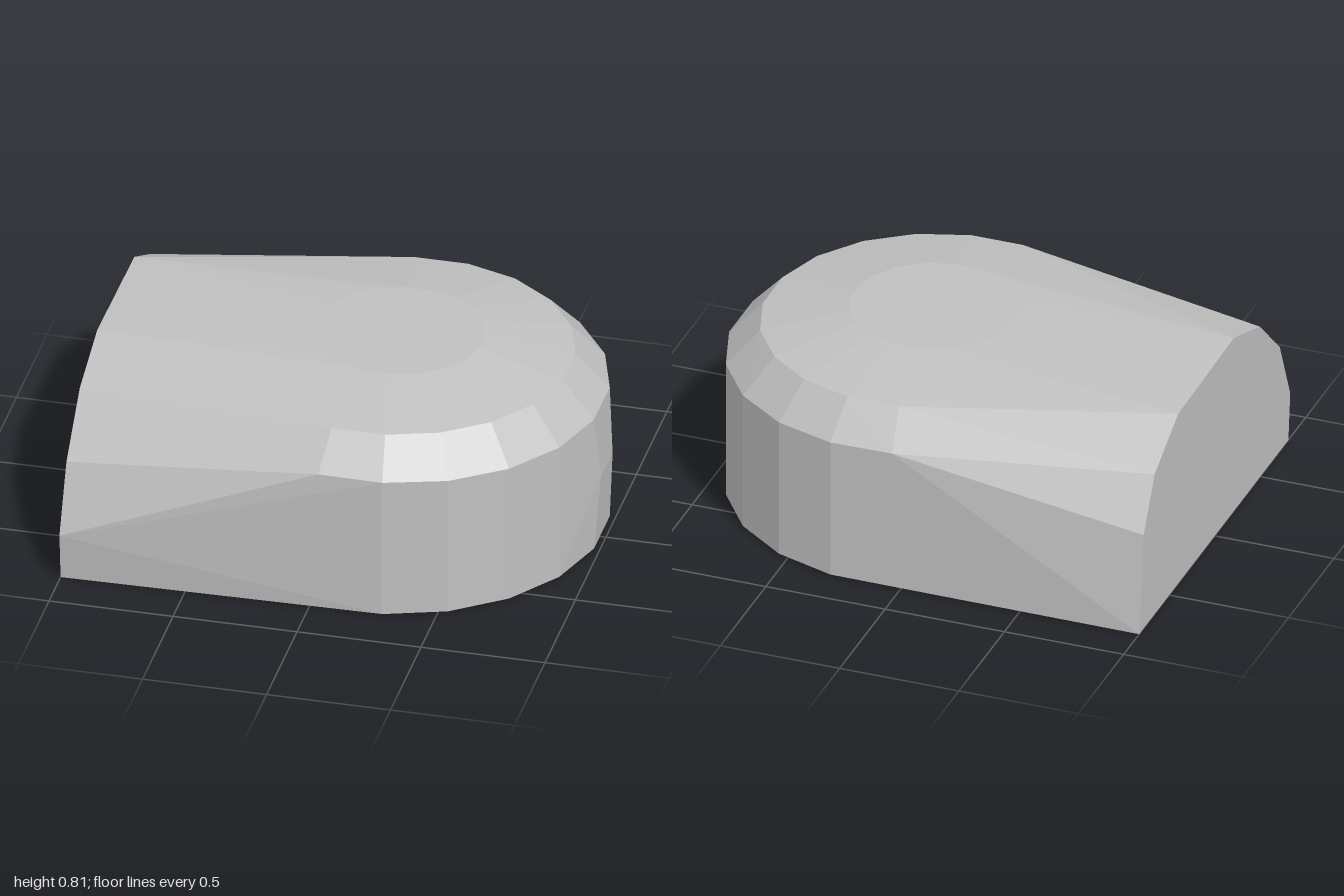
import * as THREE from 'three';
import { ConvexGeometry } from 'three/addons/geometries/ConvexGeometry.js';

// Ring of a 20-sided rounded nose; tilt is the rise in y per unit of x
function ring(y, radius, tilt = 0) {
  const points = [];
  for (let i = 0; i < 20; i++) {
    const a = ((i + 0.5) * Math.PI) / 10;
    const x = 0.165 + radius * Math.cos(a);
    points.push(new THREE.Vector3(x, y + tilt * x, -0.017 + radius * Math.sin(a)));
  }
  return points;
}

export function createModel() {
  const group = new THREE.Group();
  const grey = new THREE.MeshStandardMaterial({ color: 0xc0c0c0, flatShading: true });
  grey.name = 'grey';

  // Flat end at x = -1, as [z, y] from the front foot over to the back foot
  const endProfile = [
    [0.81, 0], [0.83, 0.2], [0.715, 0.47], [0.495, 0.68], [0.21, 0.78],
    [-0.4, 0.765], [-0.66, 0.63], [-0.78, 0.42], [-0.83, 0],
  ].map(([z, y]) => new THREE.Vector3(-1, y, z));

  // Slight bulge at the tip of the nose
  const noseTip = [0.08, -0.11].map((z) => new THREE.Vector3(1, 0.32, z));

  // Faceted shell stretched over the end, wall, shoulder and crown
  const body = new THREE.Mesh(
    new ConvexGeometry([
      ...endProfile,
      ...noseTip,
      ...ring(0.005, 0.825, 0.005),
      ...ring(0.605, 0.825, -0.01),
      ...ring(0.742, 0.69),
      ...ring(0.81, 0.34),
    ]),
    grey
  );
  body.name = 'body';
  group.add(body);
  return group;
}
